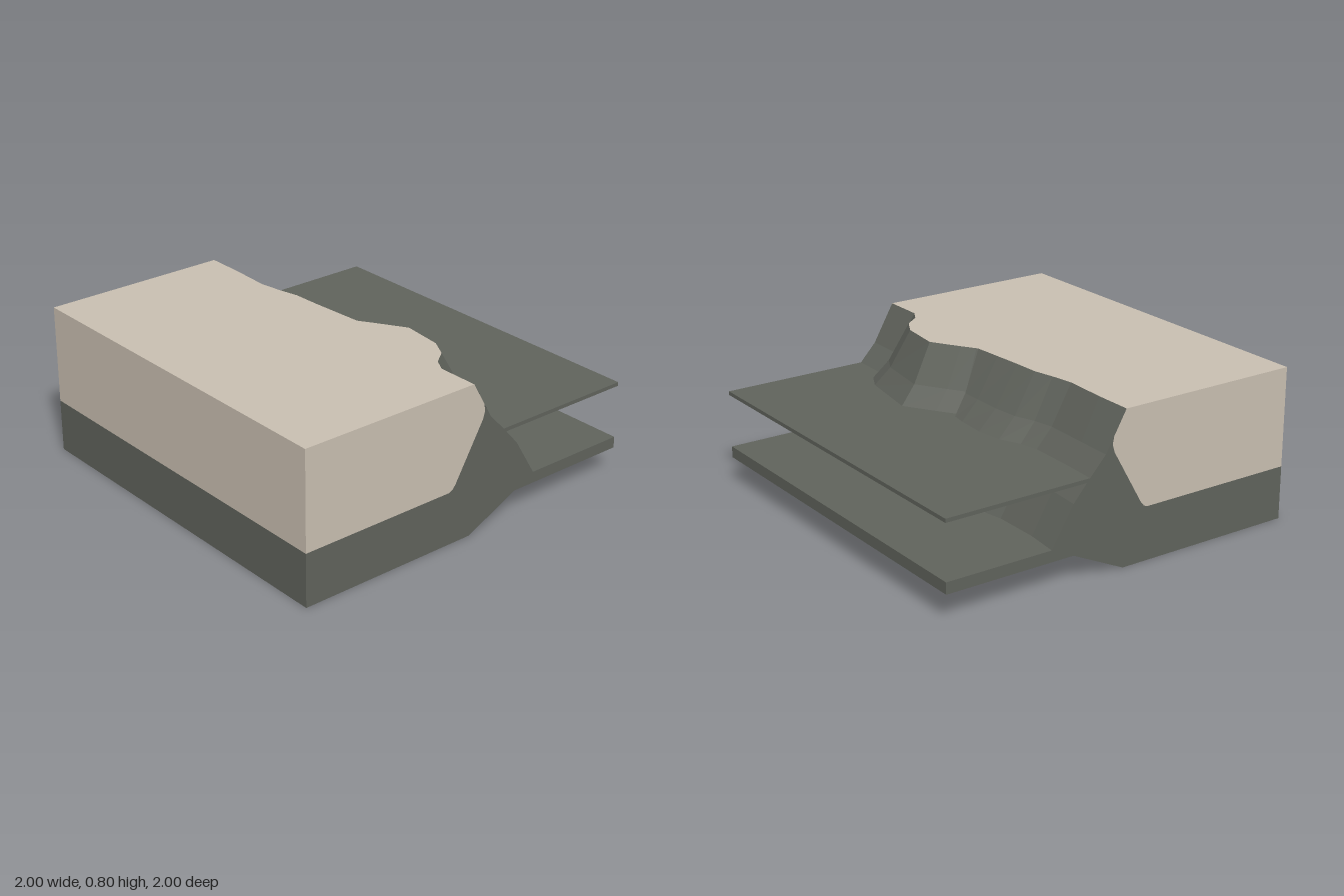
import * as THREE from 'three';

// Cliff stations: [x, z] on the top edge, then [x, z] at the upper ledge height
const STATIONS = [
  [-1, 0, -1, -0.21], [-0.8, 0, -0.82, -0.2], [-0.57, 0.01, -0.57, -0.195],
  [-0.45, -0.01, -0.47, -0.215], [-0.34, -0.035, -0.36, -0.265], [-0.2, -0.04, -0.22, -0.285],
  [-0.05, -0.05, -0.06, -0.275], [0.1, -0.06, 0.02, -0.262], [0.11, -0.065, 0.04, -0.23],
  [0.18, -0.11, 0.14, -0.295], [0.33, -0.2, 0.3, -0.395], [0.55, -0.175, 0.65, -0.34],
  [0.65, -0.12, 0.755, -0.285], [0.71, -0.04, 0.775, -0.25], [0.78, 0, 0.81, -0.215],
  [1, 0, 1, -0.21],
];
// Cliff rows: height and how far the slope has moved out from the top edge
const ROWS = [[0.8, 0], [0.6, 0.55], [0.5, 1], [0.4, 1.42], [0.2, 2], [0.14, 1.4], [0, 0]];

function cliffPoint([x0, z0, x1, z1], [y, s]) {
  return [x0 + (x1 - x0) * Math.min(s, 1), y, z0 + (z1 - z0) * s];
}

function cliffGeometry() {
  const pos = [];
  for (let i = 0; i < STATIONS.length - 1; i++) {
    for (let j = 0; j < ROWS.length - 1; j++) {
      const a = cliffPoint(STATIONS[i], ROWS[j]);
      const b = cliffPoint(STATIONS[i + 1], ROWS[j]);
      const c = cliffPoint(STATIONS[i + 1], ROWS[j + 1]);
      const d = cliffPoint(STATIONS[i], ROWS[j + 1]);
      pos.push(...a, ...b, ...c, ...a, ...c, ...d);
    }
  }
  const g = new THREE.BufferGeometry();
  g.setAttribute('position', new THREE.Float32BufferAttribute(pos, 3));
  g.computeVertexNormals();
  return g;
}

function flatShape(points) {
  return new THREE.ShapeGeometry(new THREE.Shape(points.map(([u, v]) => new THREE.Vector2(u, v))));
}

export function createModel() {
  const model = new THREE.Group();
  const sand = new THREE.MeshStandardMaterial({ color: 0xc9bfb1, side: THREE.DoubleSide });
  sand.name = 'sand';
  const rock = new THREE.MeshStandardMaterial({ color: 0x60635c, side: THREE.DoubleSide });
  rock.name = 'rock';

  const add = (name, geometry, material) => {
    const mesh = new THREE.Mesh(geometry, material);
    mesh.name = name;
    model.add(mesh);
    return mesh;
  };

  // Uneven cliff face with its undercut foot
  add('cliffFace', cliffGeometry(), rock);

  // Flat ground on top, following the cliff edge
  const edge = STATIONS.map(([x, z]) => [x, -z]).reverse();
  add('topGround', flatShape([[-1, -1], [1, -1], ...edge]).rotateX(-Math.PI / 2).translate(0, 0.8, 0), sand);

  // Front wall in two bands
  add('frontUpper', new THREE.PlaneGeometry(2, 0.52).translate(0, 0.54, 1), sand);
  add('frontLower', new THREE.PlaneGeometry(2, 0.28).translate(0, 0.14, 1), rock);

  // End walls, as [z, y] outlines split along the layer boundary
  const boundary = [[1, 0.28], [0.14, 0.28], [0.12, 0.288], [0.1, 0.312], [-0.065, 0.6],
    [-0.077, 0.64], [-0.069, 0.68]];
  const endProfile = ROWS.slice(1).map((row) => cliffPoint(STATIONS[0], row)).map(([, y, z]) => [z, y]);
  const upper = [...boundary, [0, 0.8], [1, 0.8]];
  const lower = [...boundary, ...endProfile, [1, 0]];
  for (const side of [1, -1]) {
    const label = side > 0 ? 'left' : 'right';
    const wall = (outline) => flatShape(outline.map(([z, y]) => [-side * z, y]))
      .rotateY(side * Math.PI / 2).translate(side, 0, 0);
    add(label + 'EndUpper', wall(upper), sand);
    add(label + 'EndLower', wall(lower), rock);
  }

  // Lower floor slab runs under the whole hollow block; thin upper sheet meets the cliff
  add('floorSlab', new THREE.BoxGeometry(2, 0.06, 1.998).translate(0, 0.17, -0.001), rock);
  add('upperSheet', new THREE.BoxGeometry(2, 0.02, 0.88).translate(0, 0.495, -0.56), rock);

  return model;
}
